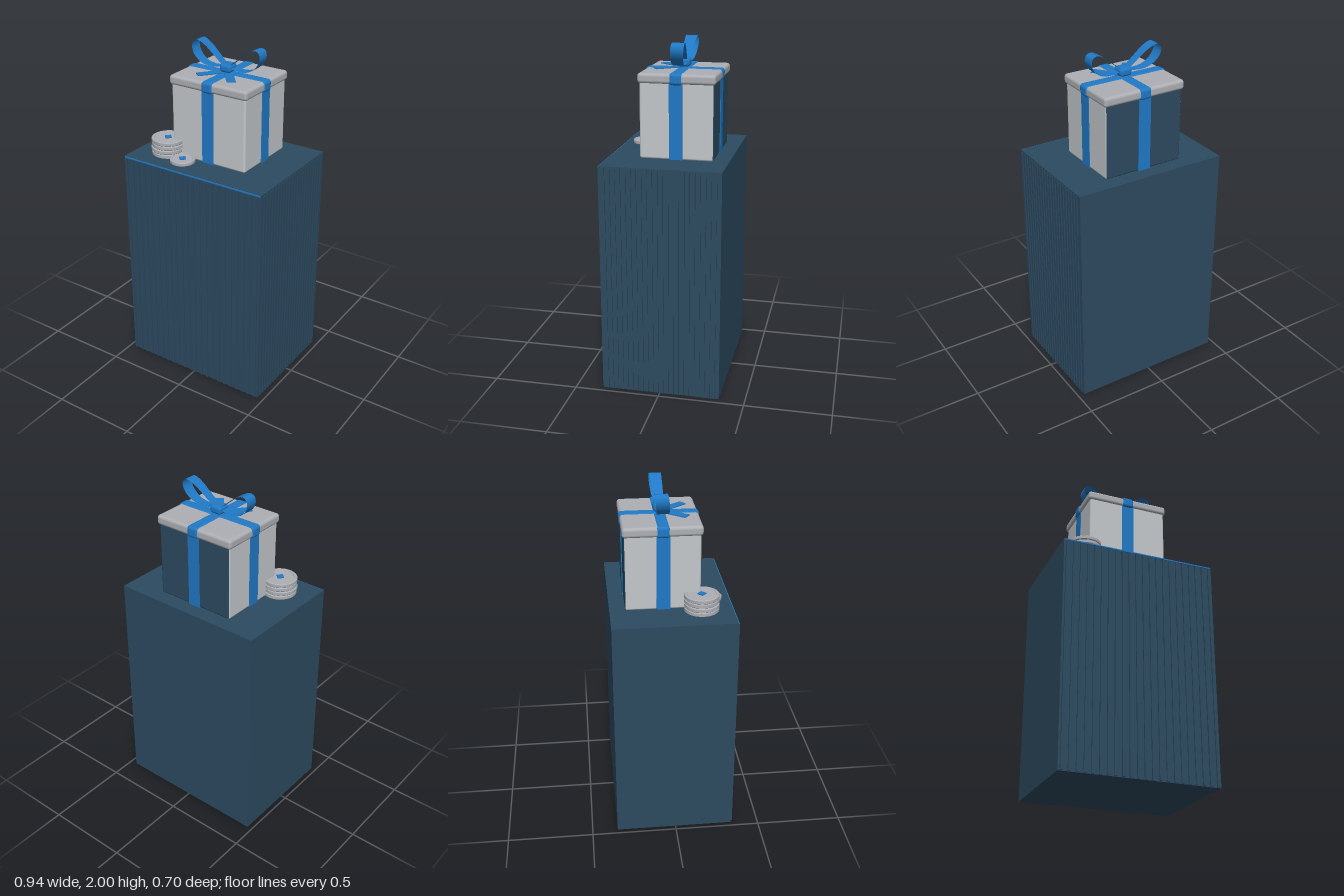
import * as THREE from 'three';
import { RoundedBoxGeometry } from 'three/addons/geometries/RoundedBoxGeometry.js';

const paint = (name, color) => Object.assign(new THREE.MeshStandardMaterial({ color }), { name });

export function createModel() {
  const model = new THREE.Group();
  model.name = 'giftOnPedestal';
  const navy = paint('navy', 0x2c4a60);
  const blue = paint('ribbon blue', 0x2079c6);
  const silver = paint('silver', 0xadafb4);
  const pale = paint('pale grey', 0xc4c8cb);
  const ribbon = paint('bow blue', 0x2079c6);
  ribbon.side = THREE.DoubleSide;

  const add = (name, geometry, material, parent = model) => {
    const mesh = new THREE.Mesh(geometry, material);
    mesh.name = name;
    parent.add(mesh);
    return mesh;
  };
  // Box given by its extents; a radius rounds the edges
  const block = (name, [x0, x1], [y0, y1], [z0, z1], material, radius = 0, parent = model) => {
    const size = [x1 - x0, y1 - y0, z1 - z0];
    const geometry = radius ? new RoundedBoxGeometry(...size, 3, radius) : new THREE.BoxGeometry(...size);
    const mesh = add(name, geometry, material, parent);
    mesh.position.set((x0 + x1) / 2, (y0 + y1) / 2, (z0 + z1) / 2);
    return mesh;
  };

  // Pedestal with raised slats on the front and its left side
  block('pedestal', [-0.47, 0.46], [0, 1.352], [-0.35, 0.338], navy);
  block('frontTrim', [-0.465, 0.455], [1.342, 1.35], [0.338, 0.343], blue);
  const slats = new THREE.Group();
  slats.name = 'slats';
  model.add(slats);
  for (let i = 0; i < 22; i++) {
    const x = -0.452 + i * 0.0425;
    block('frontSlat', [x - 0.006, x + 0.006], [0.003, 1.342], [0.336, 0.347], navy, 0, slats);
  }
  for (let i = 0; i < 22; i++) {
    const z = -0.32 + i * 0.03;
    block('sideSlat', [0.458, 0.467], [0.003, 1.345], [z - 0.005, z + 0.005], navy, 0, slats);
  }

  // Gift box with a dark back face, and its lid
  block('giftBox', [-0.25, 0.24], [1.352, 1.8], [-0.262, 0.16],
    [pale, pale, pale, pale, pale, navy], 0.012);
  block('lid', [-0.261, 0.251], [1.778, 1.835], [-0.271, 0.17], silver, 0.018);

  // Ribbon bands round the box and over the lid
  block('boxBandFront', [-0.043, 0.033], [1.353, 1.79], [-0.266, 0.164], blue);
  block('boxBandSide', [-0.254, 0.244], [1.353, 1.79], [-0.086, -0.01], blue);
  block('lidBandFront', [-0.043, 0.033], [1.773, 1.839], [-0.276, 0.175], blue, 0.018);
  block('lidBandSide', [-0.266, 0.256], [1.773, 1.839], [-0.086, -0.01], blue, 0.018);

  // Bow: knot, two open loops and two tails
  const bow = new THREE.Group();
  bow.name = 'bow';
  bow.position.set(-0.005, 0, -0.045);
  model.add(bow);
  block('knot', [-0.037, 0.037], [1.843, 1.892], [-0.038, 0.042], blue, 0.018, bow);
  const loopCurve = new THREE.CatmullRomCurve3([
    [0.02, 1.872], [0.1, 1.864], [0.16, 1.877], [0.205, 1.913], [0.223, 1.955],
    [0.215, 1.988], [0.19, 1.998], [0.14, 1.977], [0.08, 1.93], [0.02, 1.88],
  ].map(([x, y]) => new THREE.Vector3(x, y, 0)));
  for (const side of [-1, 1]) {
    const loop = new THREE.PlaneGeometry(1, 1, 48, 1);
    const pos = loop.attributes.position;
    for (let i = 0; i < pos.count; i++) {
      const p = loopCurve.getPoint(pos.getX(i) + 0.5);
      const half = 0.024 + 0.06 * p.x;
      const lean = 0.004 - 0.09 * (p.y - 1.87);
      pos.setXYZ(i, side * p.x, p.y, lean + 2 * half * pos.getY(i));
    }
    loop.computeVertexNormals();
    add('bowLoop', loop, ribbon, bow);

    const tail = add('bowTail', new THREE.BoxGeometry(0.05, 0.005, 0.16), blue, bow);
    tail.position.set(side * 0.063, 1.843, 0.08);
    tail.rotation.y = side * 0.68;
  }

  // Coins with a raised rim, recessed face and square mark
  const coin = (name, x, z, y, r, h) => {
    const rim = r * 0.82;
    const profile = [[0, 0], [r - 0.004, 0], [r, 0.004], [r, h - 0.004], [r - 0.004, h],
      [rim, h], [rim - 0.002, h - 0.004], [0, h - 0.004]].map(([a, b]) => new THREE.Vector2(a, b));
    // Unshared corners keep the rim edges crisp
    const disc = new THREE.Group();
    disc.name = name;
    disc.position.set(x, y, z);
    model.add(disc);
    for (let i = 0; i + 1 < profile.length; i++) {
      add('coinSurface', new THREE.LatheGeometry([profile[i], profile[i + 1]], 40), silver, disc);
    }
    return disc;
  };
  const mark = (disc, h) => {
    const plate = add('coinMark', new THREE.BoxGeometry(0.036, 0.006, 0.036), blue, disc);
    plate.position.y = h - 0.001;
    plate.rotation.y = Math.PI / 4;
  };
  const offsets = [[0.001, 0], [-0.002, 0.001], [0.002, -0.001], [0, 0]];
  offsets.forEach(([dx, dz], i) => {
    const disc = coin('stackedCoin', -0.283 + dx, 0.161 + dz, 1.353 + i * 0.0255, 0.098, 0.0245);
    if (i === 3) mark(disc, 0.0245);
  });
  mark(coin('looseCoin', -0.14, 0.221, 1.353, 0.073, 0.0235), 0.0235);

  return model;
}
